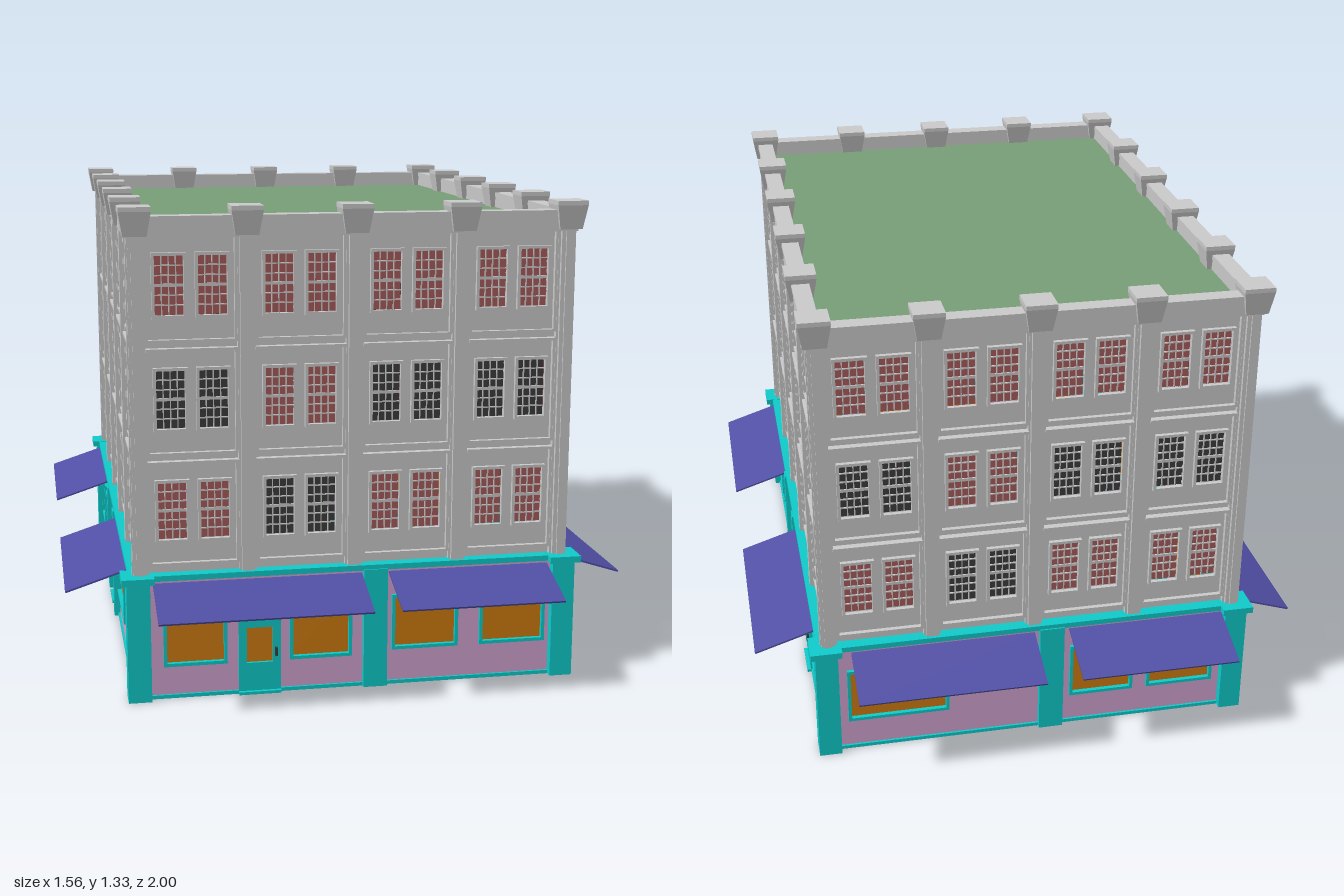
import * as THREE from 'three';
import { mergeGeometries } from 'three/addons/utils/BufferGeometryUtils.js';

const mat = (color) => new THREE.MeshStandardMaterial({ color, flatShading: true, side: THREE.DoubleSide });
const M = {
  stone: mat(0xcccccc), pink: mat(0xd2a6d2), teal: mat(0x10cccc), amber: mat(0xd07c10),
  awning: mat(0x5250a6), roof: mat(0x789e78), red: mat(0xa85a5a), dark: mat(0x3c3c3c),
};

function add(parent, name, geo, material, x = 0, y = 0, z = 0) {
  const m = new THREE.Mesh(geo, material);
  m.name = name;
  m.position.set(x, y, z);
  parent.add(m);
  return m;
}

// Box given by its low and high corners
function box(parent, name, material, x0, x1, y0, y1, z0, z1) {
  return add(parent, name, new THREE.BoxGeometry(x1 - x0, y1 - y0, z1 - z0), material,
    (x0 + x1) / 2, (y0 + y1) / 2, (z0 + z1) / 2);
}

function rectPoints(x0, x1, y0, y1) {
  return [[x0, y0], [x1, y0], [x1, y1], [x0, y1]].map(([x, y]) => new THREE.Vector2(x, y));
}

// Rectangle [x0, x1, y0, y1] with rectangular holes
function rectShape(outer, holes = []) {
  const s = new THREE.Shape(rectPoints(...outer));
  for (const h of holes) s.holes.push(new THREE.Path(rectPoints(...h).reverse()));
  return s;
}

// Rectangular frame around an opening, with a border width and a depth
function frameGeo(x0, x1, y0, y1, border, depth) {
  const outer = [x0 - border, x1 + border, y0 - border, y1 + border];
  return new THREE.ExtrudeGeometry(rectShape(outer, [[x0, x1, y0, y1]]), { depth, bevelEnabled: false });
}

// Shared upper window parts
const PW = 0.076, PH = 0.156, FLOORS = [0.52, 0.8225, 1.125];
const paneGeo = new THREE.PlaneGeometry(PW, PH);
const windowFrameGeo = frameGeo(-PW / 2, PW / 2, -PH / 2, PH / 2, 0.008, 0.012);
const gridGeo = mergeGeometries([
  ...[-1, 0, 1].map((i) => new THREE.BoxGeometry(0.0032, PH, 0.005).translate(i * PW / 4, 0, 0)),
  ...[-2, -1, 0, 1, 2].map((i) =>
    new THREE.BoxGeometry(PW, i ? 0.0032 : 0.008, 0.006).translate(0, i * PH / 6, 0)),
]);

// Storeys above the shops: pilasters, bays and paired windows
function upperFacade(group, bays, step, depth, blinds) {
  const half = bays * step / 2, wall = depth - 0.028;
  const holes = [];
  for (let b = 0; b < bays; b++) {
    const cx = -half + (b + 0.5) * step, hw = step / 2 - 0.031;
    FLOORS.forEach((cy, f) => {
      for (const s of [-1, 1]) {
        const x = cx + s * (step > 0.3 ? 0.062 : 0.057);
        holes.push([x - PW / 2, x + PW / 2, cy - PH / 2, cy + PH / 2]);
        add(group, 'windowPane', paneGeo, blinds[f][b] === 'R' ? M.red : M.dark, x, cy, wall - 0.004);
        add(group, 'windowGrid', gridGeo, M.stone, x, cy, wall - 0.003);
        add(group, 'windowFrame', windowFrameGeo, M.stone, x, cy, wall);
      }
      add(group, 'bayFrame', frameGeo(-hw, hw, -0.142, 0.13, 0.007, 0.013), M.stone, cx, cy, wall);
      box(group, 'bayLedge', M.stone, cx - hw - 0.008, cx + hw + 0.008, cy + 0.13, cy + 0.138, wall, wall + 0.019);
    });
  }
  add(group, 'upperWall', new THREE.ShapeGeometry(rectShape([-half - 0.005, half + 0.005, 0.345, 1.255], holes)),
    M.stone, 0, 0, wall);

  // Stepped pilasters, each with a flared cap above
  const capGeo = mergeGeometries([
    new THREE.CylinderGeometry(0.042 * Math.SQRT2, 0.031 * Math.SQRT2, 0.065, 4).rotateY(Math.PI / 4).translate(0, 1.288, 0),
    new THREE.BoxGeometry(0.084, 0.012, 0.084).translate(0, 1.326, 0),
  ]);
  for (let i = 0; i <= bays; i++) {
    const x = -half + i * step;
    box(group, 'pilaster', M.stone, x - 0.018, x + 0.018, 0.35, 1.26, wall - 0.004, depth - 0.004);
    box(group, 'pilasterBacking', M.stone, x - 0.024, x + 0.024, 0.35, 1.26, wall - 0.004, depth - 0.014);
    if (i < bays) add(group, 'pilasterCap', capGeo, M.stone, x, 0, depth - 0.022);
  }
  const e = half + 0.024;
  box(group, 'parapet', M.stone, -e, e, 1.25, 1.305, depth - 0.042, depth);
  box(group, 'parapetCoping', M.stone, -e, e, 1.295, 1.307, depth - 0.044, depth + 0.004);
}

// Shop front: wall, windows, doors, pilasters and awnings
function shopFront(group, halfW, depth, { windows, doors, posts, awnings, postW }) {
  const openings = doors.map((x) => [x - 0.056, x + 0.056, 0.001, 0.225]);
  add(group, 'shopWall', new THREE.ShapeGeometry(
    rectShape([-halfW, halfW, 0, 0.34], [...windows, ...openings])), M.pink, 0, 0, depth);
  box(group, 'baseStrip', M.teal, -halfW, halfW, 0, 0.01, depth - 0.004, depth + 0.006);

  for (const [x0, x1, y0, y1] of windows) {
    add(group, 'shopWindowFrame', frameGeo(x0 + 0.005, x1 - 0.005, y0 + 0.005, y1 - 0.005, 0.009, 0.016),
      M.teal, 0, 0, depth - 0.006);
    add(group, 'shopWindowGlass', new THREE.PlaneGeometry(x1 - x0, y1 - y0), M.amber,
      (x0 + x1) / 2, (y0 + y1) / 2, depth - 0.002);
  }
  for (const x of doors) {
    const door = new THREE.Group();
    door.name = 'door';
    door.position.set(x, 0, depth);
    group.add(door);
    const leaf = rectShape([-0.058, 0.058, 0, 0.227], [[-0.036, 0.036, 0.088, 0.188]]);
    add(door, 'doorLeaf', new THREE.ExtrudeGeometry(leaf, { depth: 0.014, bevelEnabled: false }), M.teal, 0, 0, -0.006);
    add(door, 'doorGlass', new THREE.PlaneGeometry(0.076, 0.104), M.amber, 0, 0.138, 0);
    box(door, 'doorHandle', M.dark, 0.042, 0.048, 0.105, 0.13, 0.006, 0.015);
    box(door, 'doorStep', M.teal, -0.058, 0.058, 0, 0.008, 0, 0.018);
  }
  for (const x of posts) {
    box(group, 'shopPost', M.teal, x - postW / 2, x + postW / 2, 0, 0.338, depth - 0.03, depth + 0.018);
  }
  for (const [x0, x1] of awnings) {
    const a = add(group, 'awning', new THREE.BoxGeometry(x1 - x0, 0.005, 0.179), M.awning,
      (x0 + x1) / 2, 0.299, depth + 0.094);
    a.rotation.x = 0.313;
  }
  box(group, 'shopCornice', M.teal, -halfW - 0.012, halfW + 0.012, 0.335, 0.35, depth - 0.035, depth + 0.014);
}

const FRONT = {
  windows: [[-0.52, -0.355, 0.095, 0.265], [-0.175, -0.01, 0.095, 0.265],
    [0.11, 0.29, 0.105, 0.255], [0.36, 0.54, 0.105, 0.255]],
  doors: [-0.262], posts: [0.058], postW: 0.066, awnings: [[-0.55, 0.02], [0.095, 0.545]],
};
const RIGHT = {
  windows: [[-0.715, -0.545, 0.105, 0.25], [-0.53, -0.455, 0.09, 0.26], [-0.44, -0.265, 0.105, 0.25],
    [0.085, 0.285, 0.095, 0.26], [0.48, 0.725, 0.095, 0.26]],
  doors: [-0.088, 0.378], posts: [-0.22, 0.05], postW: 0.042, awnings: [[-0.77, -0.25], [0.13, 0.7]],
};
const BACK = {
  windows: [[-0.53, -0.25, 0.1, 0.26], [0.11, 0.29, 0.1, 0.26], [0.34, 0.53, 0.1, 0.26]],
  doors: [], posts: [0.05], postW: 0.07, awnings: [[-0.52, 0], [0.1, 0.55]],
};
const LEFT = {
  windows: [[0.18, 0.48, 0.1, 0.26], [-0.44, -0.27, 0.105, 0.25], [-0.525, -0.455, 0.09, 0.26],
    [-0.71, -0.545, 0.105, 0.25]],
  doors: [-0.05], posts: [0.11, -0.17], postW: 0.042, awnings: [[-0.77, -0.28], [0.17, 0.69]],
};
// Blinds by floor, lowest first: R is a red blind, D a dark pane
const SHORT_BLINDS = ['RDRR', 'DRDD', 'RRRR'], LONG_BLINDS = ['RDRRD', 'RDRDR', 'RRRRD'];

export function createModel() {
  const model = new THREE.Group();
  model.name = 'cornerBuilding';

  [['frontFacade', FRONT], ['rightFacade', RIGHT], ['backFacade', BACK], ['leftFacade', LEFT]].forEach(([name, shop], i) => {
    const side = new THREE.Group();
    side.name = name;
    side.rotation.y = i * Math.PI / 2;
    model.add(side);
    const long = i % 2 === 1;
    shopFront(side, long ? 0.82 : 0.6, long ? 0.6 : 0.82, shop);
    if (long) upperFacade(side, 5, 0.322, 0.605, LONG_BLINDS);
    else upperFacade(side, 4, 0.29, 0.828, SHORT_BLINDS);
  });

  // Corner posts with their cornice blocks
  for (const sx of [-1, 1]) for (const sz of [-1, 1]) {
    add(model, 'cornerPost', new THREE.BoxGeometry(0.063, 0.338, 0.066), M.teal, sx * 0.59, 0.169, sz * 0.812);
    add(model, 'cornerCornice', new THREE.BoxGeometry(0.088, 0.018, 0.09), M.teal, sx * 0.591, 0.342, sz * 0.814);
  }

  box(model, 'roof', M.roof, -0.575, 0.575, 1.252, 1.262, -0.8, 0.8);
  return model;
}
